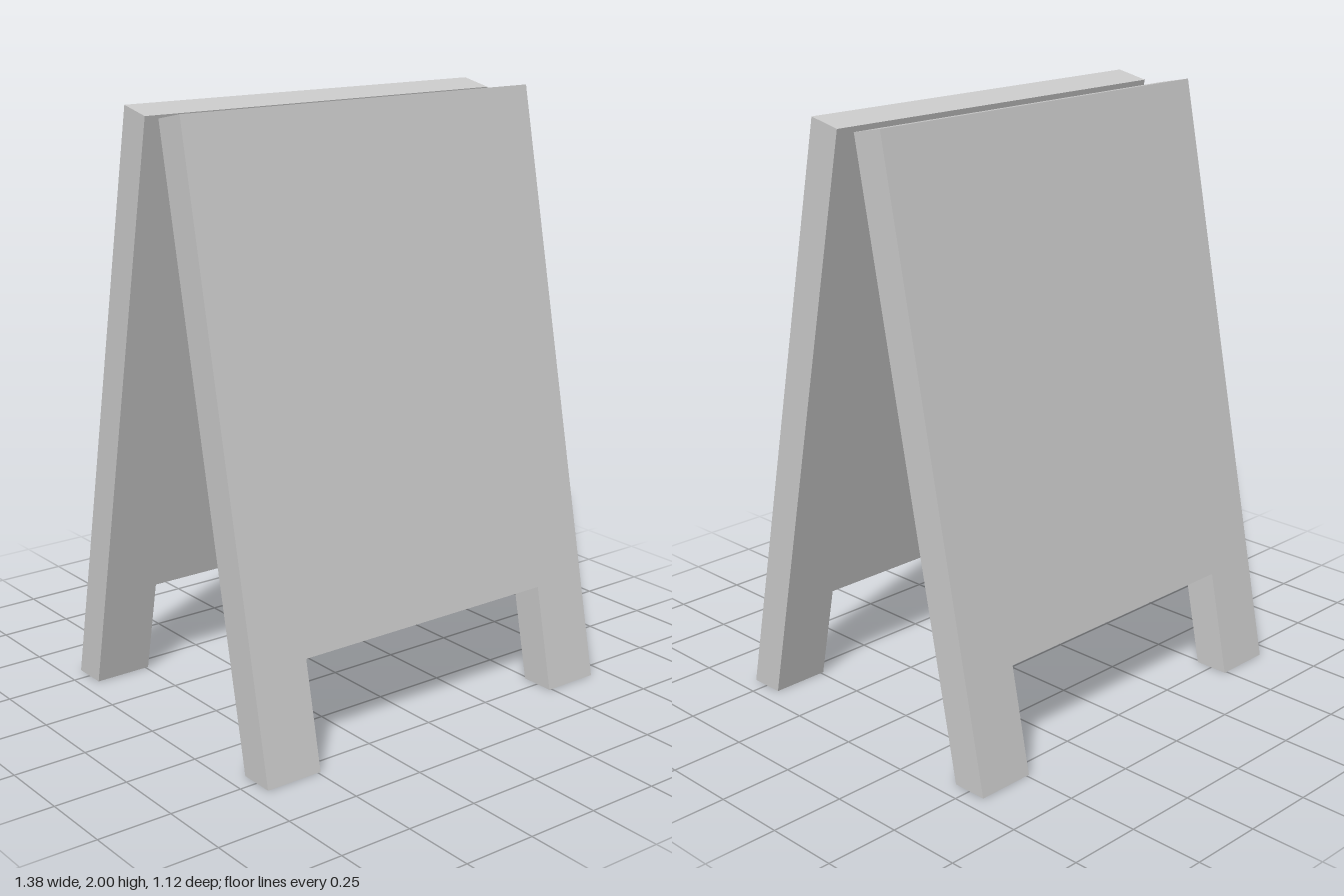
import * as THREE from 'three';

const HALF_WIDTH = 0.69, LEG_INNER = 0.49, FOOT_Z = 0.56;
const TILT = Math.atan(0.2035);
const LENGTH = 2 / Math.cos(TILT), NOTCH = 0.36, THICK = 0.12 * Math.cos(TILT);

// Leaning board with a notch between two feet that are cut level with the ground
function boardGeometry() {
  const outline = new THREE.Shape([
    [-HALF_WIDTH, 0], [-LEG_INNER, 0], [-LEG_INNER, NOTCH], [LEG_INNER, NOTCH],
    [LEG_INNER, 0], [HALF_WIDTH, 0], [HALF_WIDTH, LENGTH], [-HALF_WIDTH, LENGTH],
  ].map(([x, y]) => new THREE.Vector2(x, y)));
  const geo = new THREE.ExtrudeGeometry(outline, { depth: THICK, bevelEnabled: false });
  const pos = geo.attributes.position;
  const sin = Math.sin(TILT), cos = Math.cos(TILT);
  for (let i = 0; i < pos.count; i++) {
    const t = THICK - pos.getZ(i);
    const s = pos.getY(i) < 1e-6 ? t * Math.tan(TILT) : pos.getY(i);
    pos.setY(i, s * cos - t * sin);
    pos.setZ(i, FOOT_Z - s * sin - t * cos);
  }
  // The hollow feet are open underneath
  const kept = [];
  for (let i = 0; i < pos.count; i += 3) {
    const onGround = [0, 1, 2].every((k) => Math.abs(pos.getY(i + k)) < 1e-5);
    if (!onGround) kept.push(i, i + 1, i + 2);
  }
  geo.setIndex(kept);
  const open = geo.toNonIndexed();
  open.computeVertexNormals();
  return open;
}

export function createModel() {
  const group = new THREE.Group();
  const material = new THREE.MeshStandardMaterial({
    color: 0xcccccc, flatShading: true, side: THREE.DoubleSide,
  });

  // Two mirrored boards
  const board = boardGeometry();
  const frontBoard = new THREE.Mesh(board, material);
  frontBoard.name = 'frontBoard';
  const backBoard = new THREE.Mesh(board, material);
  backBoard.name = 'backBoard';
  backBoard.rotation.y = Math.PI;
  group.add(frontBoard, backBoard);

  // Three hinge barrels between the board tops
  const barrel = new THREE.CylinderGeometry(0.045, 0.045, 0.22, 10, 1, false, THREE.MathUtils.degToRad(100));
  barrel.rotateZ(Math.PI / 2);
  const hinges = new THREE.Group();
  hinges.name = 'hinges';
  for (const x of [-0.47, 0, 0.45]) {
    const hinge = new THREE.Mesh(barrel, material);
    hinge.name = 'hinge';
    hinge.position.set(x, 1.9, 0);
    hinges.add(hinge);
  }
  group.add(hinges);
  return group;
}
